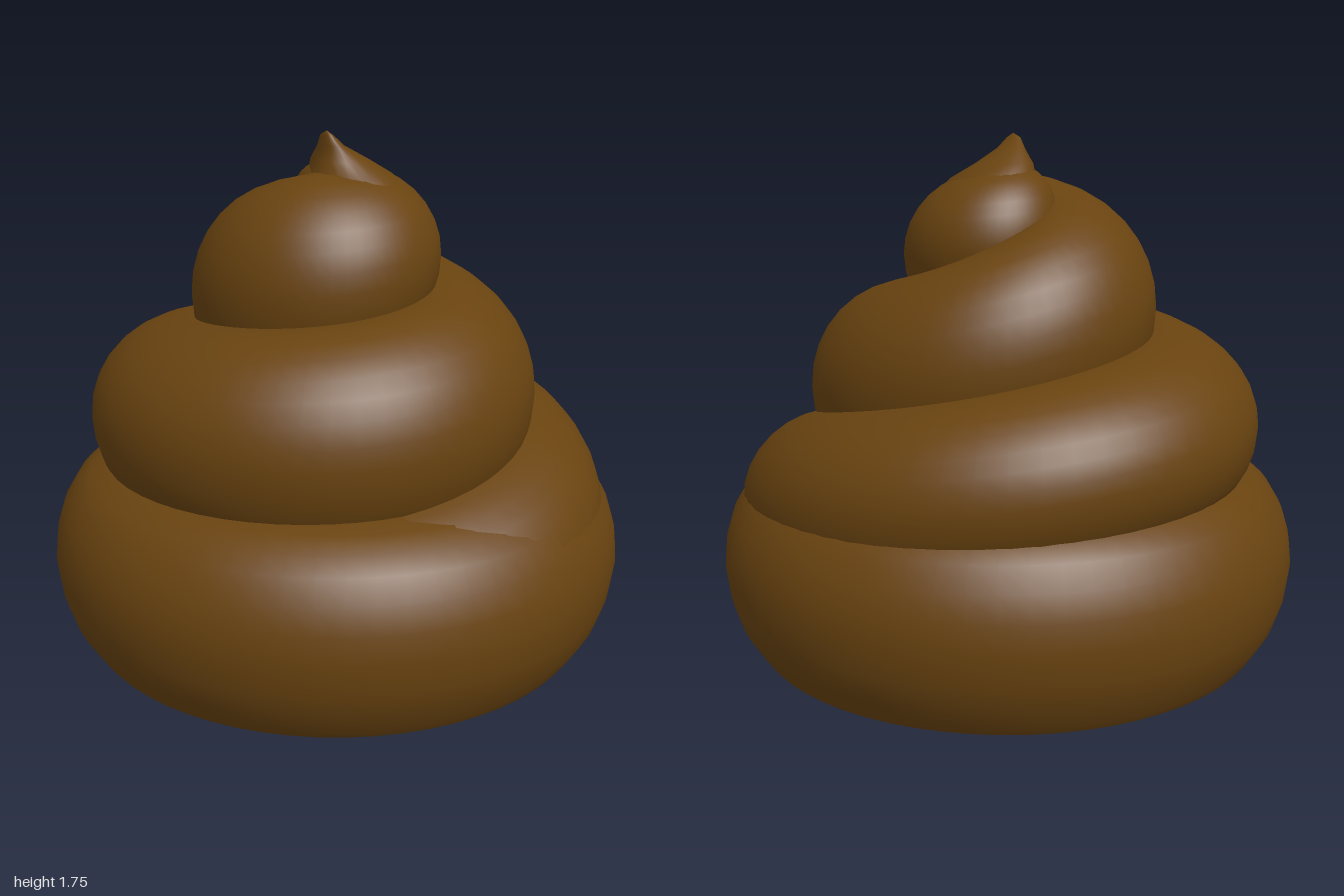
import * as THREE from 'three';

// Skin a list of closed rings with smooth normals
function loft(rings) {
  const n = rings[0].length, pos = [], idx = [];
  for (const ring of rings) for (const p of ring) pos.push(...p);
  for (let i = 0; i < rings.length - 1; i++) {
    for (let j = 0; j < n; j++) {
      const a = i * n + j, b = i * n + (j + 1) % n;
      idx.push(a, a + n, b, b, a + n, b + n);
    }
  }
  const g = new THREE.BufferGeometry();
  g.setAttribute('position', new THREE.Float32BufferAttribute(pos, 3));
  g.setIndex(idx);
  g.computeVertexNormals();
  return g;
}

// Coil keys: quarter turn, outer radius, height, half width, half height
const COIL = [
  [-2, 0.92, 0.26, 0.34, 0.30],
  [-1, 0.98, 0.32, 0.38, 0.355],
  [0, 0.915, 0.56, 0.34, 0.31],
  [1, 0.895, 0.75, 0.35, 0.29],
  [2, 0.84, 0.79, 0.36, 0.34],
  [3, 0.75, 0.83, 0.36, 0.37],
  [4, 0.655, 0.93, 0.36, 0.37],
  [5, 0.555, 1.12, 0.36, 0.37],
  [6, 0.48, 1.21, 0.36, 0.39],
  [7, 0.405, 1.29, 0.335, 0.33],
  [8, 0.33, 1.37, 0.28, 0.26],
  [9, 0.23, 1.43, 0.19, 0.21],
  [10, 0.11, 1.57, 0.08, 0.08],
  [11, 0.06, 1.66, 0.001, 0.001],
];

// Smooth interpolation between the coil keys
function coilAt(q) {
  const last = COIL.length - 1;
  const i = Math.min(Math.floor(q + 2), last - 1), f = q + 2 - i;
  const key = (k) => COIL[Math.max(0, Math.min(last, k))];
  return [1, 2, 3, 4].map((c) => {
    const p0 = key(i - 1)[c], p1 = key(i)[c], p2 = key(i + 1)[c], p3 = key(i + 2)[c];
    const m1 = (p2 - p0) / 2, m2 = (p3 - p1) / 2, d = p2 - p1;
    return p1 + f * (m1 + f * (3 * d - 2 * m1 - m2 + f * (m1 + m2 - 2 * d)));
  });
}

function coilGeometry() {
  const rings = [], steps = 13 * 14, sides = 32;
  for (let i = 0; i <= steps; i++) {
    const q = -2 + 13 * i / steps, t = q * Math.PI / 2;
    const [R, y, a, b] = coilAt(q);
    const low = Math.min(b * 1.1, y - 0.03);
    const ring = [];
    for (let j = 0; j < sides; j++) {
      const phi = j / sides * Math.PI * 2, s = Math.sin(phi);
      const r = Math.max(0.002, R - a + a * Math.cos(phi));
      ring.push([r * Math.cos(t), y + s * (s > 0 ? b : low), -r * Math.sin(t)]);
    }
    rings.push(ring);
  }
  return loft(rings);
}

// Curled peak rings: height, centre x, centre z, radius x, radius z
const PEAK = [
  [1.40, 0.04, 0.03, 0.24, 0.27],
  [1.52, 0.05, 0.04, 0.20, 0.24],
  [1.60, 0.04, 0.03, 0.14, 0.165],
  [1.65, 0.005, 0.015, 0.095, 0.11],
  [1.70, -0.038, 0.04, 0.04, 0.062],
  [1.735, -0.058, 0.055, 0.018, 0.035],
  [1.75, -0.063, 0.065, 0.001, 0.001],
];

function peakGeometry() {
  return loft(PEAK.map(([y, cx, cz, rx, rz]) => Array.from({ length: 24 }, (_, j) => {
    const t = j / 24 * Math.PI * 2;
    return [cx + rx * Math.cos(t), y, cz + rz * Math.sin(t)];
  })));
}

export function createModel() {
  const model = new THREE.Group();
  model.name = 'swirl';
  const brown = new THREE.MeshStandardMaterial({ color: 0x694310 });
  brown.name = 'brown';
  const add = (name, geometry) => {
    const mesh = new THREE.Mesh(geometry, brown);
    mesh.name = name;
    model.add(mesh);
    return mesh;
  };

  // Rounded bottom layer
  const profile = [[0.89, 0], [0.905, 0.02], [0.955, 0.1], [0.985, 0.19], [1, 0.3], [0.99, 0.39],
    [0.965, 0.47], [0.92, 0.545], [0.87, 0.59], [0.8, 0.625], [0.68, 0.65], [0.4, 0.65], [0, 0.65]];
  add('baseLayer', new THREE.LatheGeometry(profile.map(([x, y]) => new THREE.Vector2(x, y)), 64));

  // Flat underside
  add('underside', new THREE.CircleGeometry(0.89, 64)).rotation.x = Math.PI / 2;

  // Rising spiral and its pointed end
  add('spiralCoil', coilGeometry());
  add('peak', peakGeometry());
  return model;
}
